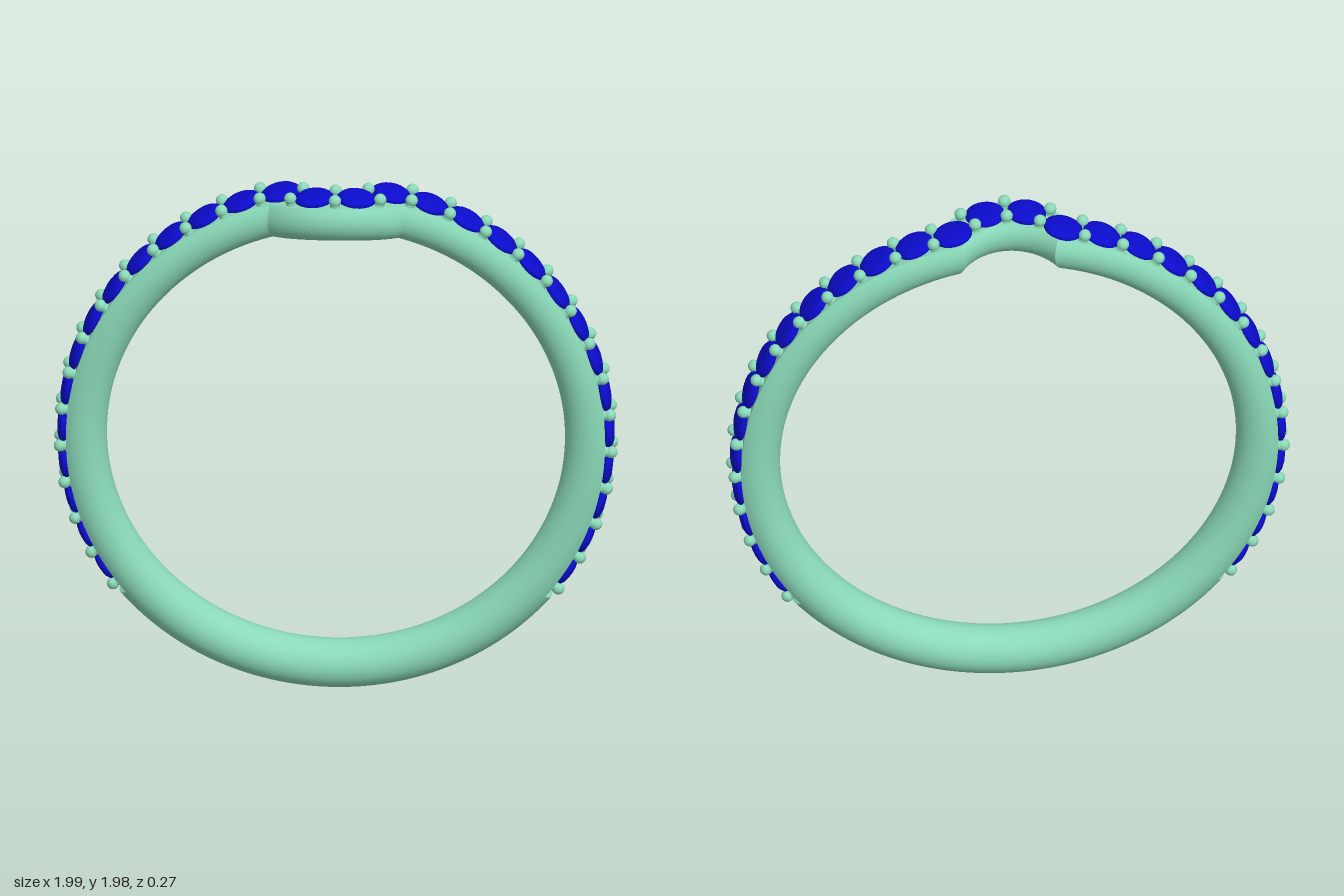
import * as THREE from 'three';
import { toCreasedNormals } from 'three/addons/utils/BufferGeometryUtils.js';

const CY = 0.993;          // height of the ring centre
const R = 0.895, T = 0.0875; // ring radius and half thickness of the band
const Z0 = -0.047;         // depth of the straight band
const BR = 0.27, BZ = -0.225; // plan radius and centre of the front bow
const FLAT = 0.056;        // height of the flat seat above the band centre
const START = THREE.MathUtils.degToRad(-39);

// bow angle at which a line offset by w meets the straight band
const mitre = (w) => Math.acos((Z0 - BZ + w) / (BR + w));
const mitreX = (w) => (BR + w) * Math.sin(mitre(w));

// point on the bow: phi around its plan centre, w sideways, r from the ring axis
function bowPoint(phi, w, r) {
  const x = (BR + w) * Math.sin(phi);
  return new THREE.Vector3(x, CY + Math.sqrt(r * r - x * x), BZ + (BR + w) * Math.cos(phi));
}
const ringPoint = (a, w, r) => new THREE.Vector3(r * Math.cos(a), CY + r * Math.sin(a), Z0 + w);

// band section: a circle with a flat top
function bandSection() {
  const v0 = Math.asin(FLAT / T), n = 28, pts = [];
  for (let i = 0; i <= n; i++) {
    const v = Math.PI - v0 + (Math.PI + 2 * v0) * i / n;
    pts.push([T * Math.cos(v), T * Math.sin(v)]);
  }
  return pts;
}

// sweep the section with a rule giving the point for (u, w, h)
function sweep(rule, steps) {
  const section = bandSection(), n = section.length, pos = [], idx = [];
  for (let i = 0; i <= steps; i++) {
    for (const [w, h] of section) pos.push(...rule(i / steps, w, h).toArray());
  }
  for (let i = 0; i < steps; i++) {
    for (let j = 0; j < n; j++) {
      const a = i * n + j, b = i * n + (j + 1) % n;
      idx.push(a, b, a + n, b, b + n, a + n);
    }
  }
  const g = new THREE.BufferGeometry();
  g.setAttribute('position', new THREE.Float32BufferAttribute(pos, 3));
  g.setIndex(idx);
  return toCreasedNormals(g, 0.5);
}

export function createModel() {
  const group = new THREE.Group();
  const metal = new THREE.MeshStandardMaterial({ color: 0x8ad9b8 });
  const blue = new THREE.MeshStandardMaterial({ color: 0x0b0bcc, flatShading: true });
  const add = (name, geo, mat, parent = group) => {
    const m = new THREE.Mesh(geo, mat);
    m.name = name;
    parent.add(m);
    return m;
  };

  // plain round lower band with its two end faces
  const arc = Math.PI + 2 * START;
  const lower = add('lowerBand', new THREE.TorusGeometry(R, T, 32, 60, arc), metal);
  lower.rotation.z = START - arc;
  lower.position.set(0, CY, Z0);
  for (const s of [1, -1]) {
    const a = s > 0 ? START : Math.PI - START;
    const cap = new THREE.Mesh(new THREE.CircleGeometry(T, 32), metal);
    cap.name = 'lowerBandEnd';
    cap.position.copy(ringPoint(a, 0, R));
    cap.lookAt(cap.position.clone().add(new THREE.Vector3(-Math.sin(a) * s, Math.cos(a) * s, 0)));
    group.add(cap);
  }

  // flat-topped side bands, mitred against the bow
  const sideAngle = (t, w, h) => THREE.MathUtils.lerp(START, Math.acos(mitreX(w) / (R + h)), t);
  add('leftBand', sweep((t, w, h) => ringPoint(sideAngle(t, w, h), w, R + h), 72), metal);
  add('rightBand', sweep((t, w, h) => ringPoint(Math.PI - sideAngle(1 - t, w, h), w, R + h), 72), metal);
  add('frontBow', sweep((t, w, h) => bowPoint((1 - 2 * t) * mitre(w), w, R + h), 32), metal);

  // place something on the band at ring angle a, sideways offset w, radius r
  const up = new THREE.Vector3(0, 1, 0);
  function place(mesh, a, w, r) {
    const x = r * Math.cos(a);
    const onBow = Math.sin(a) > 0 && Math.abs(x) < 0.19;
    mesh.position.copy(onBow ? bowPoint(Math.asin(x / BR), w, r) : ringPoint(a, w, r));
    const normal = new THREE.Vector3(mesh.position.x, mesh.position.y - CY, 0).normalize();
    mesh.quaternion.setFromUnitVectors(up, normal);
  }

  // round cut stones: pointed below, low crown with a flat table
  const stoneGeo = new THREE.LatheGeometry([
    [0, -0.045], [0.069, -0.004], [0.069, 0.006], [0.056, 0.016], [0.036, 0.022], [0, 0.022],
  ].map(([x, y]) => new THREE.Vector2(x, y)), 24);
  const beadGeo = new THREE.SphereGeometry(0.022, 16, 12);
  const stemGeo = new THREE.CylinderGeometry(0.018, 0.018, 0.05, 12);
  stemGeo.translate(0, -0.025, 0);

  const stones = new THREE.Group(), prongs = new THREE.Group();
  stones.name = 'stones';
  prongs.name = 'prongs';
  group.add(stones, prongs);

  const deg = THREE.MathUtils.degToRad;
  const angles = Array.from({ length: 14 }, (_, i) => deg(-32 + 8.48 * i));
  angles.push(deg(85.6));

  function addProngs(a) {
    for (const w of [-0.043, 0.043]) {
      place(add('prongBead', beadGeo, metal, prongs), a, w, 0.973);
      place(add('prongStem', stemGeo, metal, prongs), a, w, 0.973);
    }
  }
  // stones and the pairs of prongs between them, mirrored left and right
  angles.forEach((a, i) => {
    const between = i ? (a + angles[i - 1]) / 2 : a - deg(4.24);
    for (const flip of [false, true]) {
      const side = (v) => (flip ? Math.PI - v : v);
      place(add('stone', stoneGeo, blue, stones), side(a), 0, 0.96);
      addProngs(side(between));
    }
  });
  addProngs(Math.PI / 2);

  return group;
}
